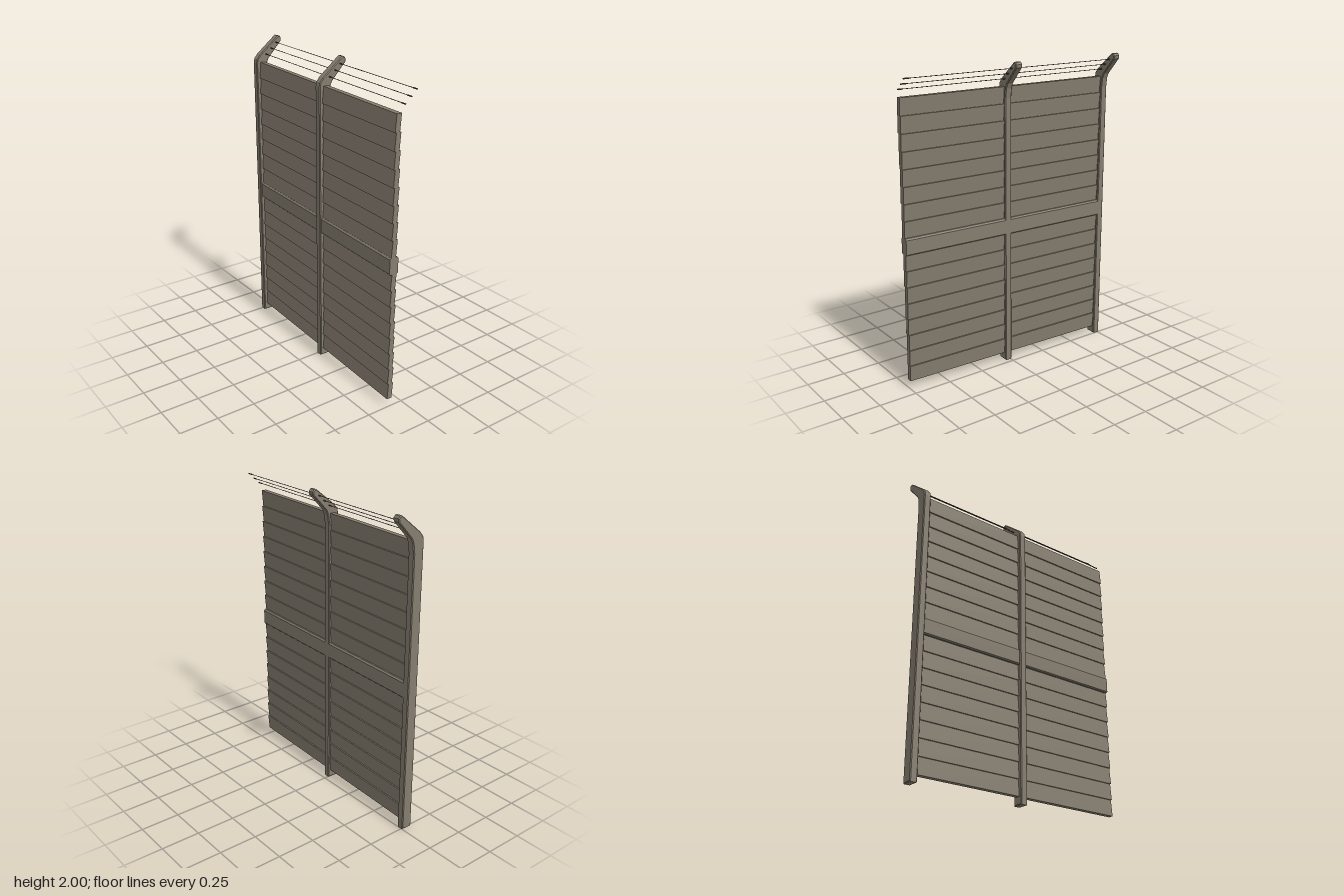
import * as THREE from 'three';

const timber = new THREE.MeshStandardMaterial({ color: 0x857d6f });
timber.name = 'weatheredTaupe';
const steel = new THREE.MeshStandardMaterial({ color: 0x4a463f });
steel.name = 'darkWire';

// Extrude a [z, y] outline along x, from x0 to x1
function extrudeAlongX(points, x0, x1, bevel = 0) {
  const shape = new THREE.Shape(points.map(([z, y]) => new THREE.Vector2(z, y)));
  const geometry = new THREE.ExtrudeGeometry(shape, {
    depth: x1 - x0 - 2 * bevel,
    bevelEnabled: bevel > 0,
    bevelThickness: bevel,
    bevelSize: bevel,
    bevelOffset: -bevel,
    bevelSegments: 1,
  });
  geometry.rotateY(-Math.PI / 2);
  geometry.translate(x1 - bevel, 0, 0);
  return geometry;
}

function add(parent, name, geometry, material) {
  const mesh = new THREE.Mesh(geometry, material);
  mesh.name = name;
  parent.add(mesh);
  return mesh;
}

// Round rod lying along x
function rod(parent, name, x0, x1, y, z, radius) {
  const geometry = new THREE.CylinderGeometry(radius, radius, x1 - x0, 8);
  geometry.rotateZ(Math.PI / 2);
  add(parent, name, geometry, steel).position.set((x0 + x1) / 2, y, z);
}

// Upright with a tapering arm leaning to the back
const POST = [
  [0.04, 0], [0.04, 1.835], [0.035, 1.862], [0.012, 1.89], [-0.11, 1.99],
  [-0.124, 2], [-0.138, 1.998], [-0.148, 1.985], [-0.146, 1.965],
  [-0.05, 1.86], [-0.038, 1.83], [-0.03, 1.77], [-0.03, 0],
];

// Chamfered middle rail, wrapping the boards
const RAIL = [
  [0.03, 0.897], [0.03, 0.988], [0.022, 0.998], [-0.022, 0.998],
  [-0.03, 0.988], [-0.03, 0.897], [-0.022, 0.89], [0.022, 0.89],
];

const WIRES = [[1.96, -0.106], [1.925, -0.07], [1.89, -0.03]];
const BOARDS = 17, BOTTOM = 0.05, PITCH = 1.79 / BOARDS;

export function createModel() {
  const model = new THREE.Group();
  model.name = 'fence';
  const run = new THREE.Group();
  run.name = 'fenceRun';
  run.position.z = 0.0575;
  run.rotation.y = -0.037;
  model.add(run);

  for (const x of [-0.74, 0.015]) {
    add(run, 'post', extrudeAlongX(POST, x - 0.0235, x + 0.0235, 0.005), timber);
  }

  const bays = [
    { x0: -0.735, x1: 0.015, wireEnd: 0.015 },
    { x0: 0.015, x1: 0.745, wireEnd: 0.762 },
  ];
  for (const { x0, x1, wireEnd } of bays) {
    const bay = new THREE.Group();
    bay.name = 'bay';
    run.add(bay);

    // Lapped boards, each leaning out at its lower edge
    for (let i = 0; i < BOARDS; i++) {
      const y0 = BOTTOM + i * PITCH, y1 = y0 + PITCH;
      const outline = [[0.021, y0], [0.012, y1], [-0.021, y1], [-0.012, y0]];
      add(bay, 'board', extrudeAlongX(outline, x0, x1), timber);
    }

    add(bay, 'middleRail', extrudeAlongX(RAIL, x0, x1), timber);

    // Taut wires with a sleeve at each end
    for (const [y, z] of WIRES) {
      rod(bay, 'wire', x0, wireEnd, y, z, 0.002);
      rod(bay, 'wireSleeve', x0, x0 + 0.04, y, z, 0.004);
      rod(bay, 'wireSleeve', wireEnd - 0.035, wireEnd, y, z, 0.004);
    }
  }
  return model;
}
